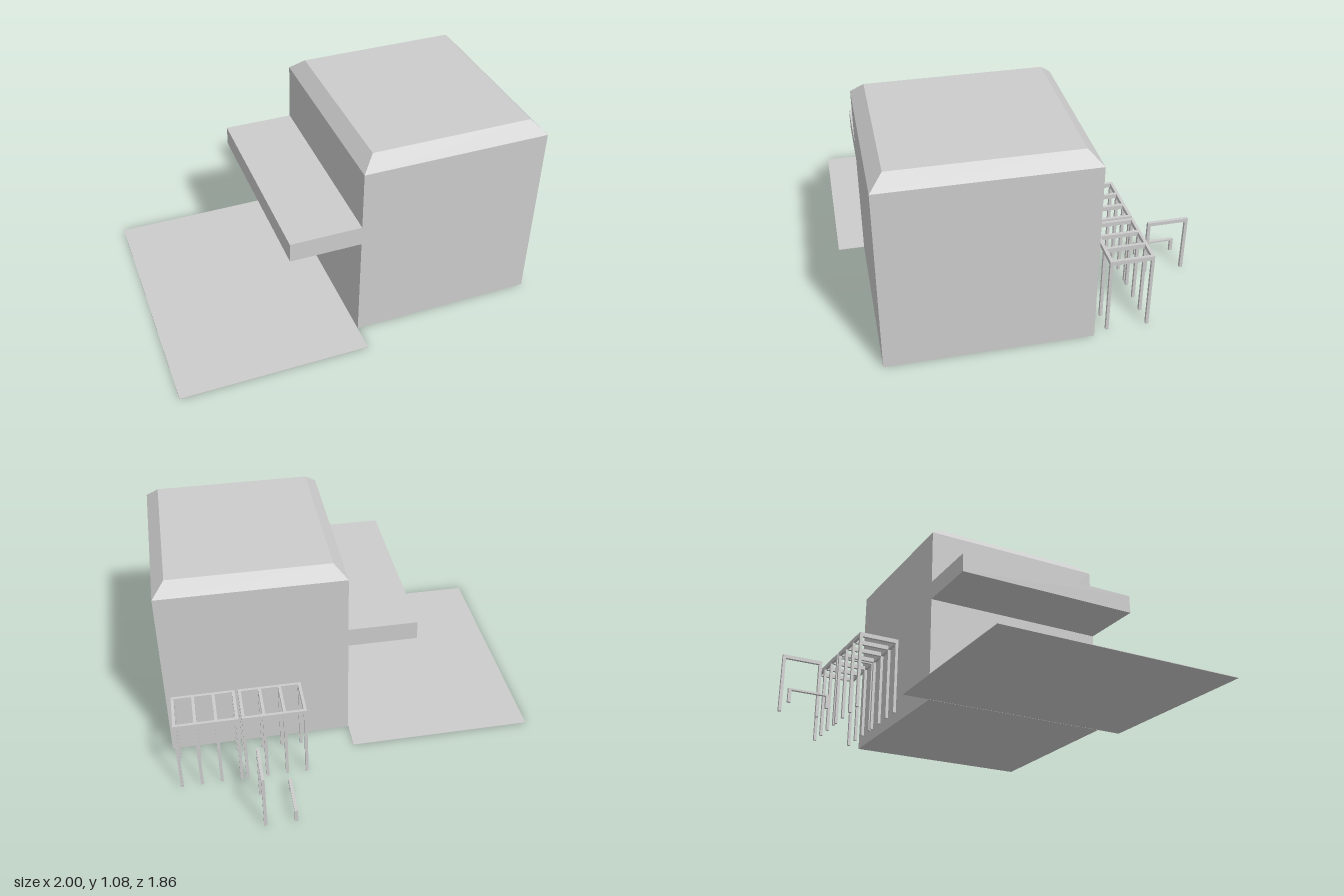
import * as THREE from 'three';

const material = new THREE.MeshStandardMaterial({ color: 0xcccccc, flatShading: true });

// Box given by its minimum and maximum corners
function box(parent, name, [x0, y0, z0], [x1, y1, z1]) {
  const geometry = new THREE.BoxGeometry(x1 - x0, y1 - y0, z1 - z0);
  const mesh = new THREE.Mesh(geometry, material);
  mesh.position.set((x0 + x1) / 2, (y0 + y1) / 2, (z0 + z1) / 2);
  mesh.name = name;
  parent.add(mesh);
  return mesh;
}

function group(parent, name) {
  const g = new THREE.Group();
  g.name = name;
  parent.add(g);
  return g;
}

// Open frame: two long rails, four crossbars, a leg under each crossbar end
function pergola(parent, name, x0, x1) {
  const g = group(parent, name);
  const t = 0.016, z0 = -0.587, z1 = -0.356, top = 0.434, under = 0.41;
  box(g, 'backRail', [x0, under, z0], [x1, top, z0 + t]);
  box(g, 'frontRail', [x0, under, z1 - t], [x1, top, z1]);
  for (let i = 0; i < 4; i++) {
    const x = x0 + (i / 3) * (x1 - x0 - t);
    box(g, 'crossbar', [x, under, z0 + t], [x + t, top, z1 - t]);
    box(g, 'backLeg', [x, 0, z0], [x + t, under, z0 + t]);
    box(g, 'frontLeg', [x, 0, z1 - t], [x + t, under, z1]);
  }
}

// Upside-down U: two legs and a bar
function hoop(parent, name, x, height, bar) {
  const g = group(parent, name);
  const t = 0.017, z0 = -0.932, z1 = -0.704, a = x - t / 2, b = x + t / 2;
  box(g, 'bar', [a, height - bar, z0], [b, height, z1]);
  box(g, 'backLeg', [a, 0, z0], [b, height - bar, z0 + t]);
  box(g, 'frontLeg', [a, 0, z1 - t], [b, height - bar, z1]);
}

export function createModel() {
  const model = new THREE.Group();
  model.name = 'building';

  // Main block and the canopy on its side
  const x0 = 0.008, x1 = 1, z0 = -0.286, z1 = 0.788, eaves = 1.012;
  box(model, 'walls', [x0, 0, z0], [x1, eaves, z1]);
  box(model, 'canopy', [-0.368, 0.588, z0], [x0, 0.694, z1]);

  // Roof: a box whose top corners are drawn inwards
  const roof = box(model, 'roof', [x0, eaves, z0], [x1, 1.08, z1]);
  const p = roof.geometry.attributes.position;
  for (let i = 0; i < p.count; i++) {
    if (p.getY(i) > 0) {
      p.setX(i, p.getX(i) - Math.sign(p.getX(i)) * 0.068);
      p.setZ(i, p.getZ(i) - Math.sign(p.getZ(i)) * 0.068);
    }
  }
  roof.geometry.computeVertexNormals();

  // Paved yard
  box(model, 'yard', [-1, 0, -0.44], [0.006, 0.003, 0.932]);

  // Open frames and hoops behind the building
  pergola(model, 'rightPergola', 0.282, 0.619);
  pergola(model, 'leftPergola', 0.635, 0.971);
  hoop(model, 'tallHoop', 0.557, 0.33, 0.02);
  hoop(model, 'lowHoop', 0.398, 0.078, 0.01);

  return model;
}
